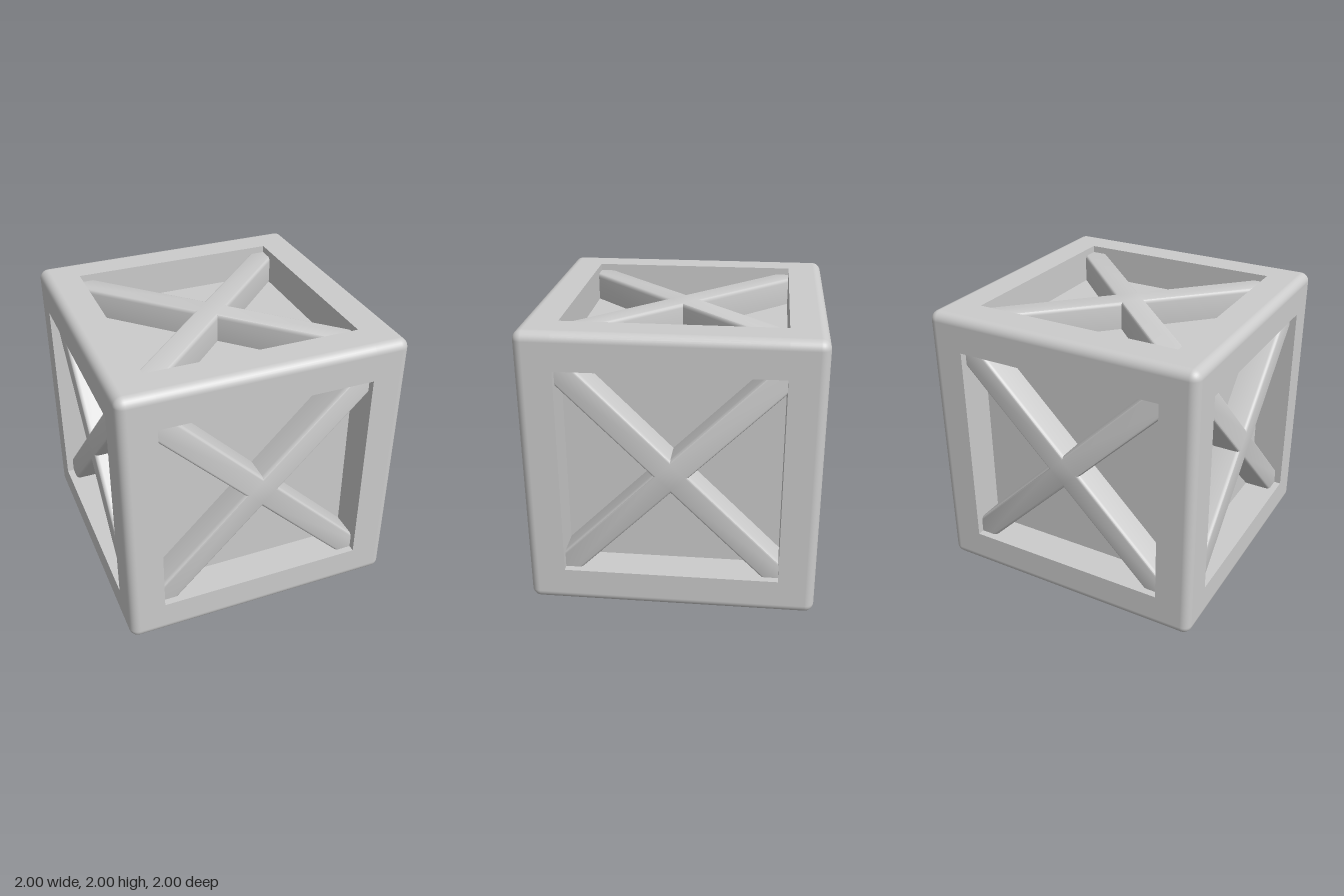
import * as THREE from 'three';
import { toCreasedNormals } from 'three/addons/utils/BufferGeometryUtils.js';

const OPEN = 0.745;   // half width of each opening
const CORE = 0.75;    // half width of the inner box
const R = 0.065;      // outer edge rounding
const BRACE_TOP = 0.95;
const BRACE_HALF = 0.088;

// Square ring facing +z whose outer border bends round the cube edges
function frameFaceGeometry() {
  const half = [OPEN];
  for (let i = 0; i <= 4; i++) half.push(1 - R + R * Math.tan((i / 4) * Math.PI / 4));
  const coords = [...half.map(v => -v).reverse(), ...half];
  const n = coords.length, mid = half.length - 1;
  const pos = [], nor = [], index = [];
  const inner = new THREE.Vector3(), d = new THREE.Vector3();
  const lim = new THREE.Vector3(1 - R, 1 - R, 1 - R), low = lim.clone().negate();
  for (const y of coords) for (const x of coords) {
    d.set(x, y, 1);
    inner.copy(d).clamp(low, lim);
    d.sub(inner).normalize();
    nor.push(d.x, d.y, d.z);
    inner.addScaledVector(d, R);
    pos.push(inner.x, inner.y, inner.z);
  }
  for (let j = 0; j < n - 1; j++) for (let i = 0; i < n - 1; i++) {
    if (i === mid && j === mid) continue; // the opening
    const a = j * n + i, b = a + 1, c = a + n, e = c + 1;
    index.push(a, b, e, a, e, c);
  }
  const g = new THREE.BufferGeometry();
  g.setAttribute('position', new THREE.Float32BufferAttribute(pos, 3));
  g.setAttribute('normal', new THREE.Float32BufferAttribute(nor, 3));
  g.setIndex(index);
  return g;
}

// Bevelled X, its junction flush, its ends buried in the frame
function braceGeometry() {
  const bevel = 0.02, rise = 0.03, w = BRACE_HALF - bevel, len = 1.14;
  const shape = new THREE.Shape();
  const quarter = [[w, w], [w, len], [-w, len]];
  const pts = [];
  for (let k = 0; k < 4; k++) for (const [x, y] of quarter) {
    pts.push(new THREE.Vector2(x, y).rotateAround(new THREE.Vector2(), k * Math.PI / 2 + Math.PI / 4));
  }
  shape.setFromPoints(pts);
  const bottom = 0.68;
  const g = new THREE.ExtrudeGeometry(shape, {
    depth: BRACE_TOP - bottom - 2 * rise, bevelEnabled: true,
    bevelSize: bevel, bevelThickness: rise, bevelSegments: 3,
  });
  g.translate(0, 0, bottom + rise);
  return toCreasedNormals(g, 0.65);
}

export function createModel() {
  const model = new THREE.Group();
  model.name = 'crate';
  const material = new THREE.MeshStandardMaterial({ color: 0xcccccc });
  const add = (parent, geometry, name) => {
    const mesh = new THREE.Mesh(geometry, material);
    mesh.name = name;
    parent.add(mesh);
    return mesh;
  };

  // Inner box gives the recessed panels
  const core = add(model, new THREE.BoxGeometry(2 * CORE, 2 * CORE, 2 * CORE), 'recessedPanels');
  core.position.y = 1;

  const frame = frameFaceGeometry();
  const brace = braceGeometry();
  const depth = 1 - CORE;
  const wall = new THREE.PlaneGeometry(2 * OPEN, depth);
  wall.rotateX(-Math.PI / 2).translate(0, -OPEN, CORE + depth / 2);

  const sides = {
    front: [0, 0], left: [0, Math.PI / 2], back: [0, Math.PI], right: [0, -Math.PI / 2],
    top: [-Math.PI / 2, 0], bottom: [Math.PI / 2, 0],
  };
  for (const [name, [rx, ry]] of Object.entries(sides)) {
    const side = new THREE.Group();
    side.name = name + 'Side';
    side.position.y = 1;
    side.rotation.set(rx, ry, 0);
    add(side, frame, name + 'Frame');
    add(side, brace, name + 'CrossBrace');
    // Inner walls of the opening
    for (let k = 0; k < 4; k++) add(side, wall, name + 'OpeningWall').rotation.z = k * Math.PI / 2;
    model.add(side);
  }
  return model;
}
